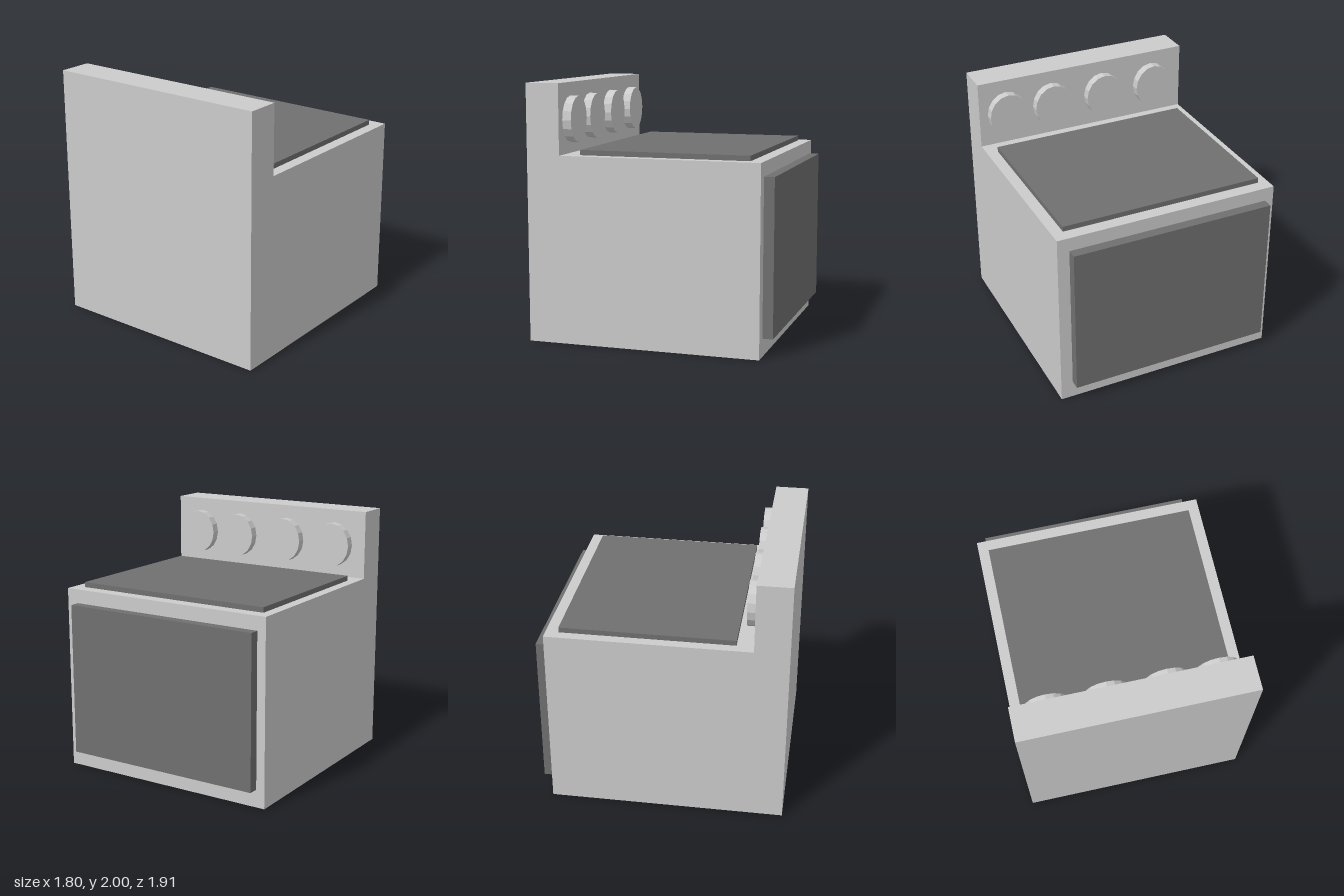
import * as THREE from 'three';

export function createModel() {
  const model = new THREE.Group();
  const grey = new THREE.MeshStandardMaterial({ color: 0xcccccc, flatShading: true });
  const dark = new THREE.MeshStandardMaterial({ color: 0x707070, flatShading: true });

  const add = (name, geometry, material, x, y, z) => {
    const mesh = new THREE.Mesh(geometry, material);
    mesh.name = name;
    mesh.position.set(x, y, z);
    model.add(mesh);
    return mesh;
  };
  // box given by its extents on each axis
  const addSlab = (name, [x0, x1], [y0, y1], [z0, z1]) =>
    add(name, new THREE.BoxGeometry(x1 - x0, y1 - y0, z1 - z0), dark,
      (x0 + x1) / 2, (y0 + y1) / 2, (z0 + z1) / 2);

  // cabinet and upright control panel: one L-shaped side profile (-z, y) across the width
  const profile = new THREE.Shape(
    [[-0.955, 0], [0.875, 0], [0.875, 1.455], [-0.69, 1.455], [-0.69, 2], [-0.955, 2]]
      .map(([x, y]) => new THREE.Vector2(x, y)));
  const body = new THREE.ExtrudeGeometry(profile, { depth: 1.8, bevelEnabled: false });
  body.translate(0, 0, -0.9).rotateY(Math.PI / 2);
  add('stoveBody', body, grey, 0, 0, 0);

  // hob plate and oven door
  addSlab('cooktop', [-0.82, 0.81], [1.455, 1.495], [-0.775, 0.555]);
  addSlab('ovenDoor', [-0.83, 0.805], [0.14, 1.345], [-0.955, -0.875]);

  // slightly oval control knobs, unevenly spaced along the panel
  const knob = new THREE.CylinderGeometry(1, 1, 0.07, 16);
  knob.rotateX(Math.PI / 2).scale(0.16, 0.178, 1);
  [-0.625, -0.175, 0.28, 0.67].forEach((x, i) =>
    add(`controlKnob${i + 1}`, knob, grey, x, 1.718, 0.655));

  return model;
}
